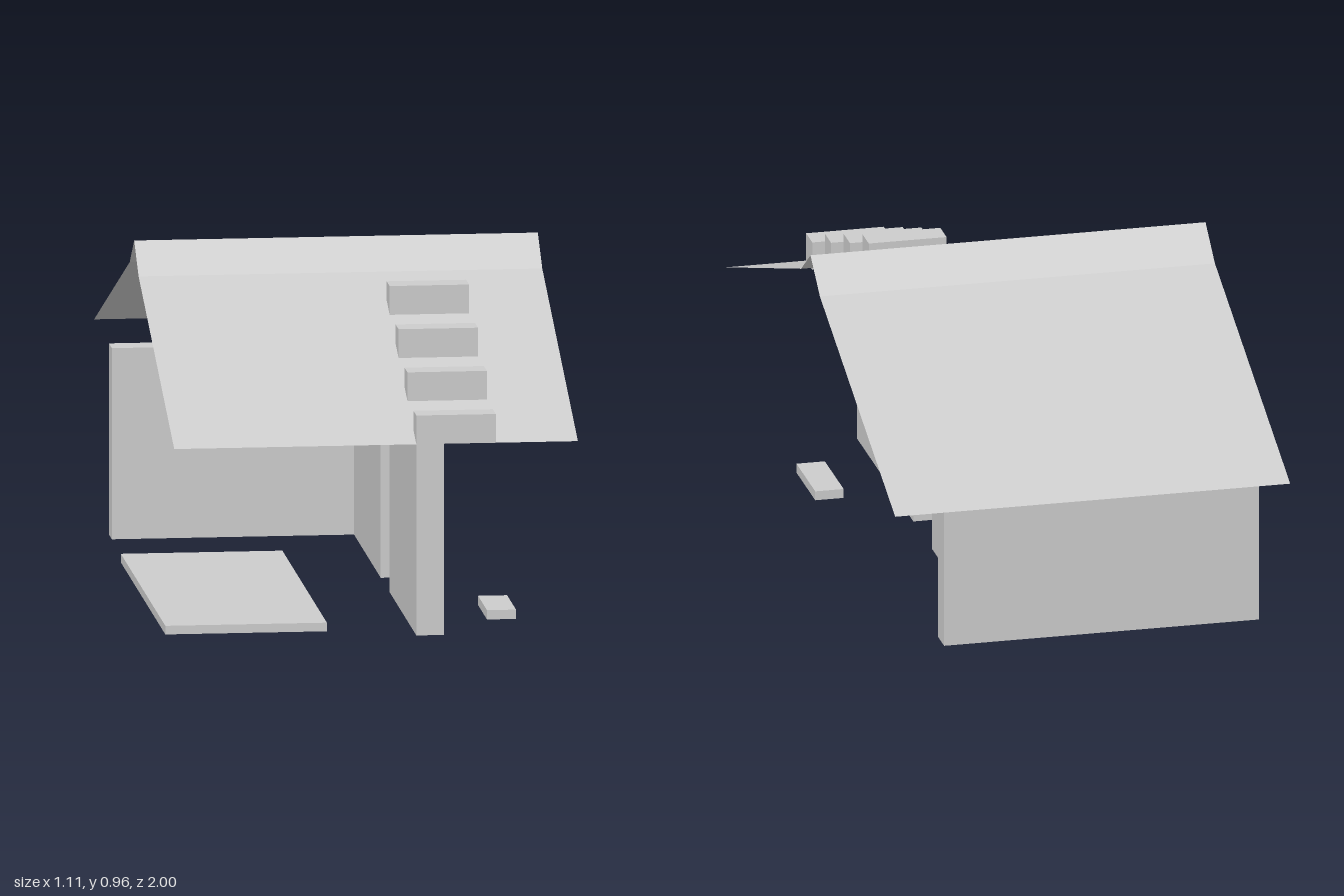
import * as THREE from 'three';

export function createModel() {
  const model = new THREE.Group();
  const grey = new THREE.MeshStandardMaterial({ color: 0xcccccc, side: THREE.DoubleSide });
  grey.name = 'plain grey';

  // Box given by its two limits on each axis
  function block(name, [x0, x1], [y0, y1], [z0, z1], parent = model) {
    const mesh = new THREE.Mesh(new THREE.BoxGeometry(x1 - x0, y1 - y0, z1 - z0), grey);
    mesh.position.set((x0 + x1) / 2, (y0 + y1) / 2, (z0 + z1) / 2);
    mesh.name = name;
    parent.add(mesh);
  }

  // Walls: two in line with a doorway gap, one across the back
  const wallY = [0.024, 0.556];
  block('frontSideWall', [0.111, 0.187], wallY, [0.333, 1]);
  block('rearSideWall', [0.111, 0.187], wallY, [-0.556, 0.111]);
  block('backWall', [-0.556, 0.33], wallY, [-0.63, -0.556]);

  // Floor slab and small doorstep
  block('floorSlab', [-0.556, -0.111], [0, 0.024], [-0.333, 0.778]);
  block('doorstep', [0.33, 0.41], [0.024, 0.05], [0.556, 0.778]);

  // Row of roof blocks, rising to the middle one
  const roofBlocks = new THREE.Group();
  roofBlocks.name = 'roofBlocks';
  model.add(roofBlocks);
  for (let i = 0; i < 7; i++) {
    const front = 1 - i * 0.2222;
    const top = 0.876 - Math.abs(i - 3) * 0.08;
    block('roofBlock', [0.111, 0.33], [0.556, top], [front - 0.074, front], roofBlocks);
  }

  // Thin roof: shallow slopes with a steeper ridge, profile as [z, y]
  const profile = [[1, 0.556], [0.111, 0.876], [0, 0.956], [-0.111, 0.876], [-1, 0.556]];
  const names = ['frontRoofSlope', 'frontRidge', 'backRidge', 'backRoofSlope'];
  const w = 0.556;
  names.forEach((name, i) => {
    const [z0, y0] = profile[i];
    const [z1, y1] = profile[i + 1];
    const geometry = new THREE.BufferGeometry();
    geometry.setAttribute('position', new THREE.Float32BufferAttribute(
      [-w, y0, z0, w, y0, z0, w, y1, z1, -w, y1, z1], 3));
    geometry.setIndex([0, 1, 2, 0, 2, 3]);
    geometry.computeVertexNormals();
    const mesh = new THREE.Mesh(geometry, grey);
    mesh.name = name;
    model.add(mesh);
  });

  return model;
}
